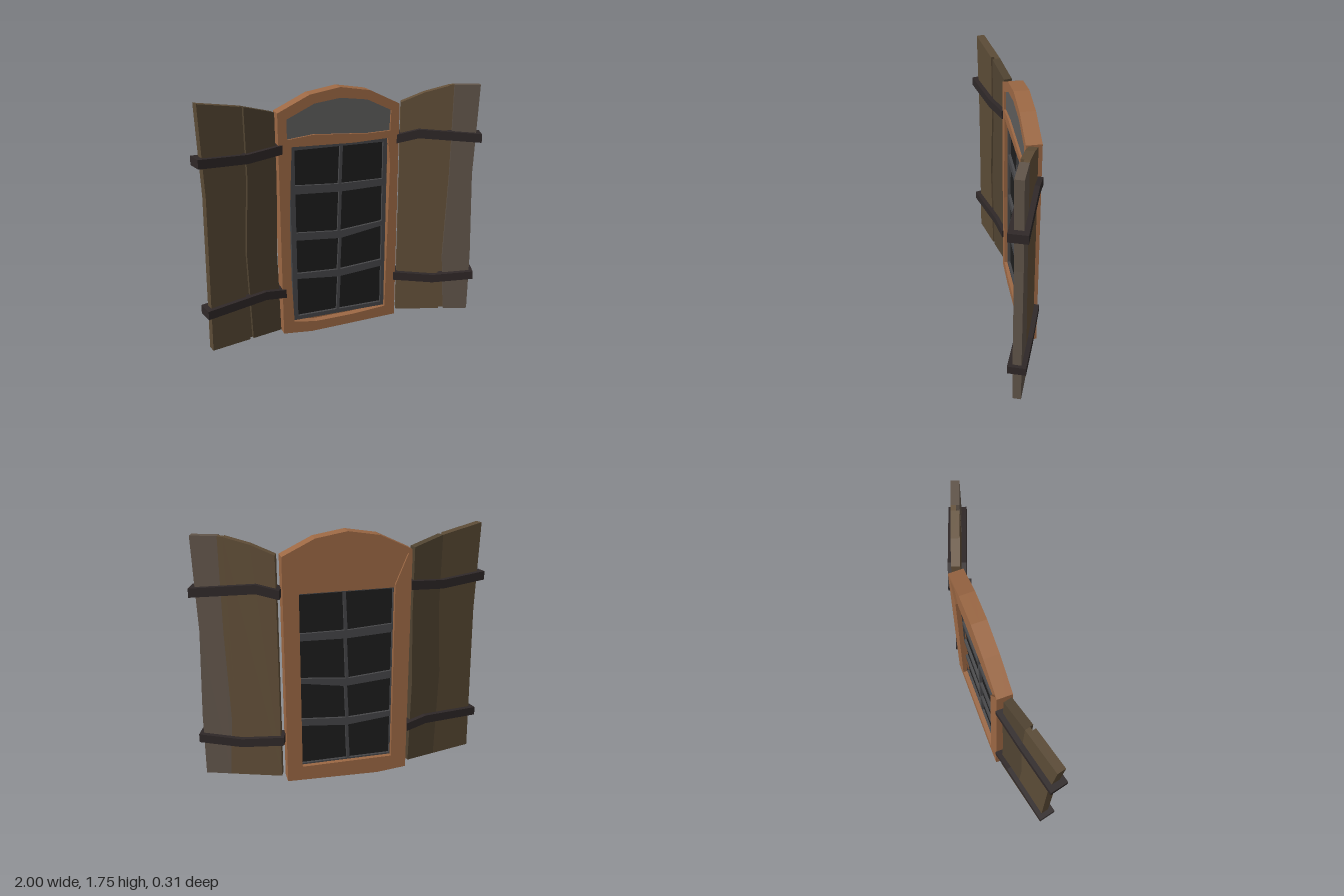
import * as THREE from 'three';

const mat = (color) => new THREE.MeshStandardMaterial({ color, flatShading: true });
const wood = mat(0x9c6844), iron = mat(0x2f2828), sashGrey = mat(0x464648);
const glassDark = mat(0x1d1d1d), glassGrey = mat(0x5e5d5c);
const plankBrown = mat(0x5b4b36), plankDark = mat(0x504331), plankWarm = mat(0x635039), plankGrey = mat(0x61554a);

const toPoints = (list) => list.map(([x, y]) => new THREE.Vector2(x, y));

// Flat slab with a polygon outline and optional holes, between two depths
function slab(name, outline, z0, z1, material, holes = []) {
  const shape = new THREE.Shape(toPoints(outline));
  holes.forEach((h) => shape.holes.push(new THREE.Path(toPoints(h))));
  const geo = new THREE.ExtrudeGeometry(shape, { depth: z1 - z0, bevelEnabled: false });
  geo.translate(0, 0, z0);
  const mesh = new THREE.Mesh(geo, material);
  mesh.name = name;
  return mesh;
}

function createWindow() {
  const g = new THREE.Group();
  g.name = 'window';
  const outer = [[-0.43, 0.02], [-0.22, 0], [0.425, 0.02], [0.425, 1.61], [0.21, 1.715], [0, 1.75], [-0.21, 1.715], [-0.43, 1.61]];
  const frontHole = [[-0.35, 0.1], [-0.19, 0.075], [0.1, 0.08], [0.345, 0.1], [0.365, 1.2], [0.345, 1.38], [0.1, 1.37], [-0.34, 1.38], [-0.375, 0.7]];
  const fanHole = [[-0.37, 1.43], [-0.19, 1.45], [0.2, 1.425], [0.36, 1.43], [0.365, 1.57], [0.19, 1.655], [0, 1.68], [-0.18, 1.655], [-0.37, 1.565]];
  const backHole = [[-0.32, 0.12], [0.32, 0.12], [0.32, 1.36], [-0.32, 1.36]];
  // The shallow rear recess runs from the opening up into the arch
  const recess = [[-0.32, 0.12], [0.32, 0.12], [0.32, 1.38], [0.4, 1.585], [0.2, 1.69], [0, 1.725], [-0.2, 1.69], [-0.405, 1.585], [-0.32, 1.38]];
  g.add(slab('frameFront', outer, -0.1, -0.05, wood, [frontHole, fanHole]));
  g.add(slab('frameCore', outer, -0.135, -0.1, wood, [backHole]));
  g.add(slab('frameBackRim', outer, -0.15, -0.135, wood, [recess]));
  g.add(slab('fanlight', fanHole, -0.1, -0.065, glassGrey));

  // Sash: each row gives bottom then top heights at left, middle and right
  const rows = [
    [0.13, 0.13, 0.13, 0.42, 0.39, 0.42],
    [0.46, 0.445, 0.47, 0.71, 0.685, 0.735],
    [0.765, 0.74, 0.77, 1.045, 1.028, 1.035],
    [1.105, 1.085, 1.085, 1.35, 1.35, 1.35],
  ];
  const mid = [-0.015, -0.007, -0.005, 0.003]; // crooked centre bar
  const panes = [];
  rows.forEach(([bl, bm, br, tl, tm, tr], i) => {
    const m = mid[i];
    panes.push([[-0.315, bl], [m - 0.01, bm], [m + 0.002, tm], [-0.315, tl]]);
    panes.push([[m + 0.012, bm], [0.32, br], [0.32, tr], [m + 0.022, tm]]);
  });
  const sashOutline = [[-0.35, 0.1], [0.345, 0.1], [0.35, 1.375], [-0.35, 1.375]];
  g.add(slab('sash', sashOutline, -0.118, -0.072, sashGrey, panes));
  g.add(slab('glass', [[-0.33, 0.11], [0.33, 0.11], [0.33, 1.365], [-0.33, 1.365]], -0.1, -0.09, glassDark));
  return g;
}

// Iron band following a few heights along the shutter
function strap(name, path) {
  const h = 0.03;
  const outline = [...path.map(([x, y]) => [x, y - h]), ...path.map(([x, y]) => [x, y + h]).reverse()];
  return slab(name, outline, -0.06, 0.06, iron);
}

// Angled shutter: outlines use facing-on x positions, stretched into its own plane
function createShutter(name, cx, cz, angle, planks, groove, straps) {
  const g = new THREE.Group();
  g.name = name;
  const local = (pts) => pts.map(([x, y]) => [(x - cx) / Math.cos(angle), y]);
  planks.forEach(([label, pts, material]) => g.add(slab(label, local(pts), -0.028, 0.028, material)));
  g.add(slab('groove', local(groove), -0.028, 0.006, planks[0][2]));
  straps.forEach(([label, pts]) => {
    const path = local(pts);
    path[0][0] = -0.292;
    path[path.length - 1][0] = 0.292;
    g.add(strap(label, path));
  });
  g.position.set(cx, 0, cz);
  g.rotation.y = angle;
  return g;
}

export function createModel() {
  const model = new THREE.Group();
  model.name = 'shutteredWindow';
  model.add(createWindow());

  model.add(createShutter('rightShutter', -0.703, -0.034, 0.225, [
    ['outerPlank', [[-0.96, 0.05], [-0.69, 0.05], [-0.72, 0.7], [-0.68, 1.2], [-0.685, 1.68], [-0.96, 1.73], [-0.94, 1.13]], plankBrown],
    ['innerPlank', [[-0.665, 0.05], [-0.452, 0.05], [-0.465, 0.65], [-0.45, 1.15], [-0.452, 1.615], [-0.66, 1.675], [-0.655, 1.2], [-0.685, 0.7]], plankDark],
  ], [[-0.69, 0.05], [-0.665, 0.05], [-0.685, 0.7], [-0.655, 1.2], [-0.66, 1.675], [-0.685, 1.68], [-0.68, 1.2], [-0.72, 0.7]], [
    ['upperStrap', [[-1, 1.367], [-0.66, 1.347], [-0.4, 1.37]]],
    ['lowerStrap', [[-1, 0.335], [-0.57, 0.362], [-0.4, 0.335]]],
  ]));

  model.add(createShutter('leftShutter', 0.703, -0.003, -0.337, [
    ['innerPlank', [[0.452, 0.05], [0.755, 0.05], [0.73, 0.48], [0.755, 1.1], [0.757, 1.725], [0.6, 1.68], [0.452, 1.615]], plankWarm],
    ['outerPlank', [[0.79, 0.05], [0.955, 0.05], [0.955, 0.5], [0.935, 1.1], [0.955, 1.73], [0.79, 1.73], [0.785, 1.1], [0.765, 0.48]], plankGrey],
  ], [[0.755, 0.05], [0.79, 0.05], [0.765, 0.48], [0.785, 1.1], [0.79, 1.73], [0.757, 1.725], [0.755, 1.1], [0.73, 0.48]], [
    ['upperStrap', [[0.4, 1.367], [0.57, 1.402], [1, 1.367]]],
    ['lowerStrap', [[0.4, 0.335], [0.7, 0.31], [1, 0.335]]],
  ]));
  return model;
}
